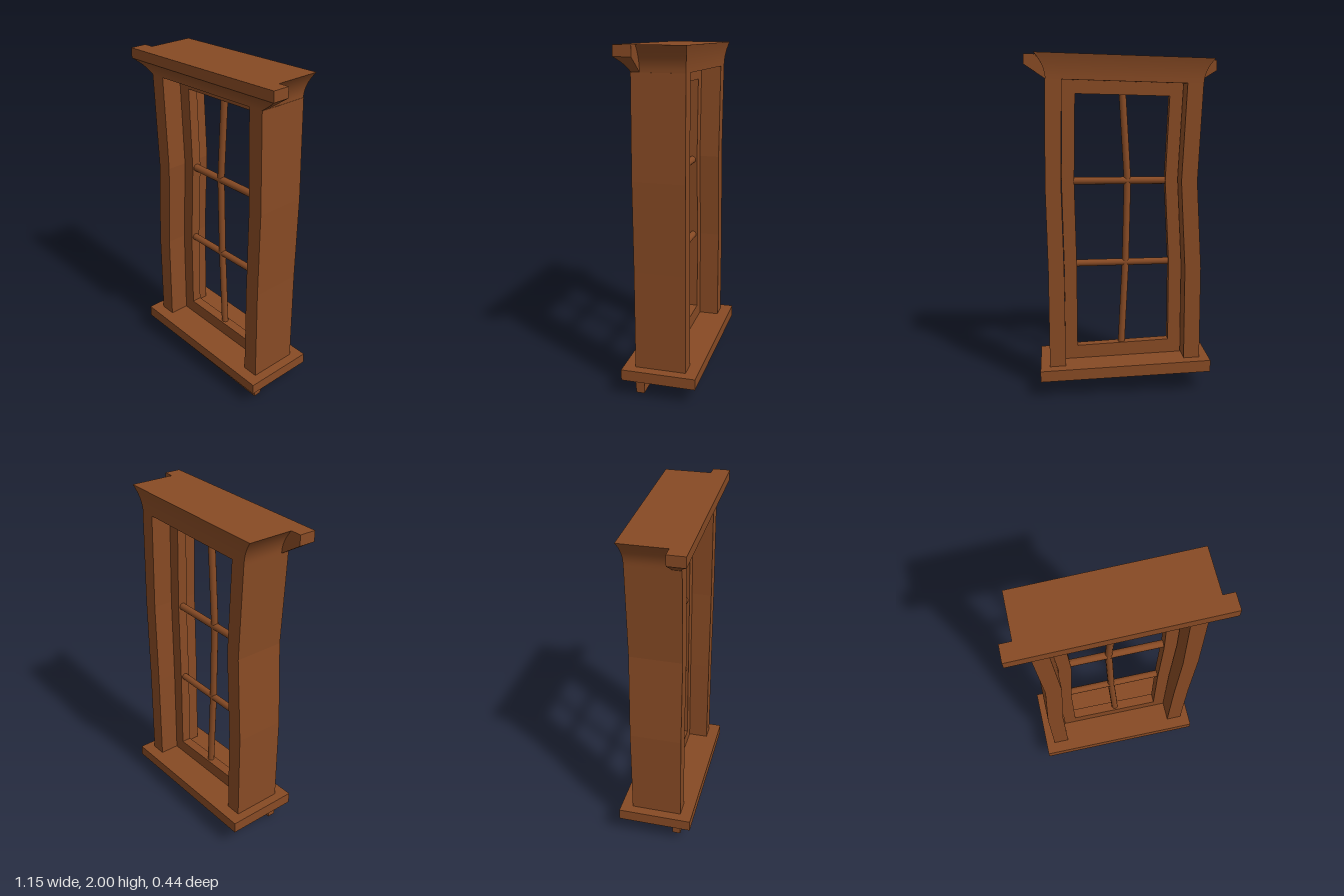
import * as THREE from 'three';
import { toCreasedNormals } from 'three/addons/utils/BufferGeometryUtils.js';

const wood = new THREE.MeshStandardMaterial({ color: 0x874a24 });
wood.name = 'brown wood';

// Sloping lines that make the window crooked
const capTop = x => 1.982 + 0.0304 * x;
const capBottom = x => capTop(x) - 0.143;
const sillTop = x => 0.182 - 0.0347 * x;
const sillBottom = x => 0.115 - 0.03 * x;
const apronBottom = x => 0.019 - 0.04 * x;

function add(group, name, geometry) {
  const mesh = new THREE.Mesh(geometry, wood);
  mesh.name = name;
  group.add(mesh);
  return mesh;
}

// Flat outline in x, y pushed from z0 to z1, with an optional hole
function slab(points, z0, z1, hole) {
  const toVec = p => new THREE.Vector2(p[0], p[1]);
  const shape = new THREE.Shape(points.map(toVec));
  if (hole) shape.holes.push(new THREE.Path(hole.map(toVec)));
  const geometry = new THREE.ExtrudeGeometry(shape, { depth: z1 - z0, bevelEnabled: false });
  return geometry.translate(0, 0, z0);
}

// Solid through rectangular rings, bottom to top; yAt gives the tilted height
function loft(rings) {
  const corners = rings.map(({ x0, x1, z0, z1, yAt }) =>
    [[x0, z1], [x1, z1], [x1, z0], [x0, z0]].map(([x, z]) => [x, yAt(x), z]));
  const pos = [];
  const quad = (a, b, c, d) => pos.push(...a, ...b, ...c, ...a, ...c, ...d);
  for (let i = 0; i < corners.length - 1; i++) {
    const lo = corners[i], hi = corners[i + 1];
    for (let k = 0; k < 4; k++) quad(lo[k], lo[(k + 1) % 4], hi[(k + 1) % 4], hi[k]);
  }
  const base = corners[0], top = corners[corners.length - 1];
  quad(base[3], base[2], base[1], base[0]);
  quad(top[0], top[1], top[2], top[3]);
  const geometry = new THREE.BufferGeometry();
  geometry.setAttribute('position', new THREE.Float32BufferAttribute(pos, 3));
  geometry.computeVertexNormals();
  return toCreasedNormals(geometry, 0.4);
}

// Round glazing bar between two points
function rod(group, name, a, b, radius) {
  const from = new THREE.Vector3(a[0], a[1], 0), to = new THREE.Vector3(b[0], b[1], 0);
  const dir = to.clone().sub(from);
  const mesh = add(group, name, new THREE.CylinderGeometry(radius, radius, dir.length(), 12));
  mesh.position.copy(from).add(to).multiplyScalar(0.5);
  mesh.quaternion.setFromUnitVectors(new THREE.Vector3(0, 1, 0), dir.normalize());
}

export function createModel() {
  const model = new THREE.Group();
  model.name = 'crookedWindow';

  // Deep bent side posts
  add(model, 'rightJamb', slab([
    [-0.45, sillTop(-0.45)], [-0.355, sillTop(-0.355)], [-0.355, 0.75], [-0.327, 1.27],
    [-0.355, capBottom(-0.355)], [-0.447, capBottom(-0.447)], [-0.42, 1.27], [-0.45, 0.75],
  ], -0.15, 0.15));
  add(model, 'leftJamb', slab([
    [0.355, sillTop(0.355)], [0.45, sillTop(0.45)], [0.45, 0.75], [0.46, 1.27],
    [0.45, capBottom(0.45)], [0.357, capBottom(0.357)], [0.369, 1.27], [0.358, 0.75],
  ], -0.15, 0.15));

  // Head block flaring outward at the sides and back
  const head = [];
  for (let i = 0; i <= 8; i++) {
    const t = i / 8, flare = t * t;
    head.push({
      x0: -0.448 - 0.062 * flare, x1: 0.448 + 0.062 * flare,
      z0: -0.15 - 0.02 * flare, z1: 0.149,
      yAt: x => capBottom(x) + 0.143 * t,
    });
  }
  add(model, 'head', loft(head));

  // Front cornice with a hollow curve below a square edge
  const cornice = [];
  for (let i = 0; i <= 8; i++) {
    const t = i / 8, hx = 0.446 + 0.129 * t;
    cornice.push({
      x0: -hx, x1: hx, z0: 0.1, z1: 0.15 + 0.05 * t * t,
      yAt: x => capBottom(x) + 0.083 * t,
    });
  }
  cornice.push({ x0: -0.575, x1: 0.575, z0: 0.1, z1: 0.2, yAt: capTop });
  add(model, 'cornice', loft(cornice));

  // Sill and the apron beneath it
  const sill = { x0: -0.505, x1: 0.505, z0: -0.22, z1: 0.22 };
  add(model, 'sill', loft([{ ...sill, yAt: sillBottom }, { ...sill, yAt: sillTop }]));
  const apron = { x0: -0.453, x1: 0.447, z0: 0.1, z1: 0.15 };
  add(model, 'apron', loft([
    { ...apron, yAt: apronBottom },
    { ...apron, yAt: x => apronBottom(x) + 0.06 },
    { ...apron, z1: 0.215, yAt: sillBottom },
  ]));

  // Sash frame set midway in the opening
  add(model, 'sash', slab([
    [-0.352, sillTop(-0.352)], [0.354, sillTop(0.354)], [0.355, 0.75], [0.365, 1.27],
    [0.354, capBottom(0.354)], [-0.352, capBottom(-0.352)], [-0.324, 1.27], [-0.352, 0.75],
  ], -0.03, 0.03, [
    [-0.275, 0.275], [-0.275, 0.76], [-0.25, 1.26], [-0.272, 1.755],
    [0.28, 1.77], [0.29, 1.26], [0.28, 0.76], [0.28, 0.252],
  ]));

  // Glazing bars
  const upright = [[0.003, 1.775], [-0.027, 1.265], [-0.015, 0.76], [0.01, 0.255]];
  for (let i = 0; i < 3; i++) rod(model, 'uprightBar', upright[i], upright[i + 1], 0.021);
  rod(model, 'crossBar', [-0.26, 1.26], [0.3, 1.262], 0.022);
  rod(model, 'crossBar', [-0.285, 0.766], [0.29, 0.763], 0.021);

  return model;
}
